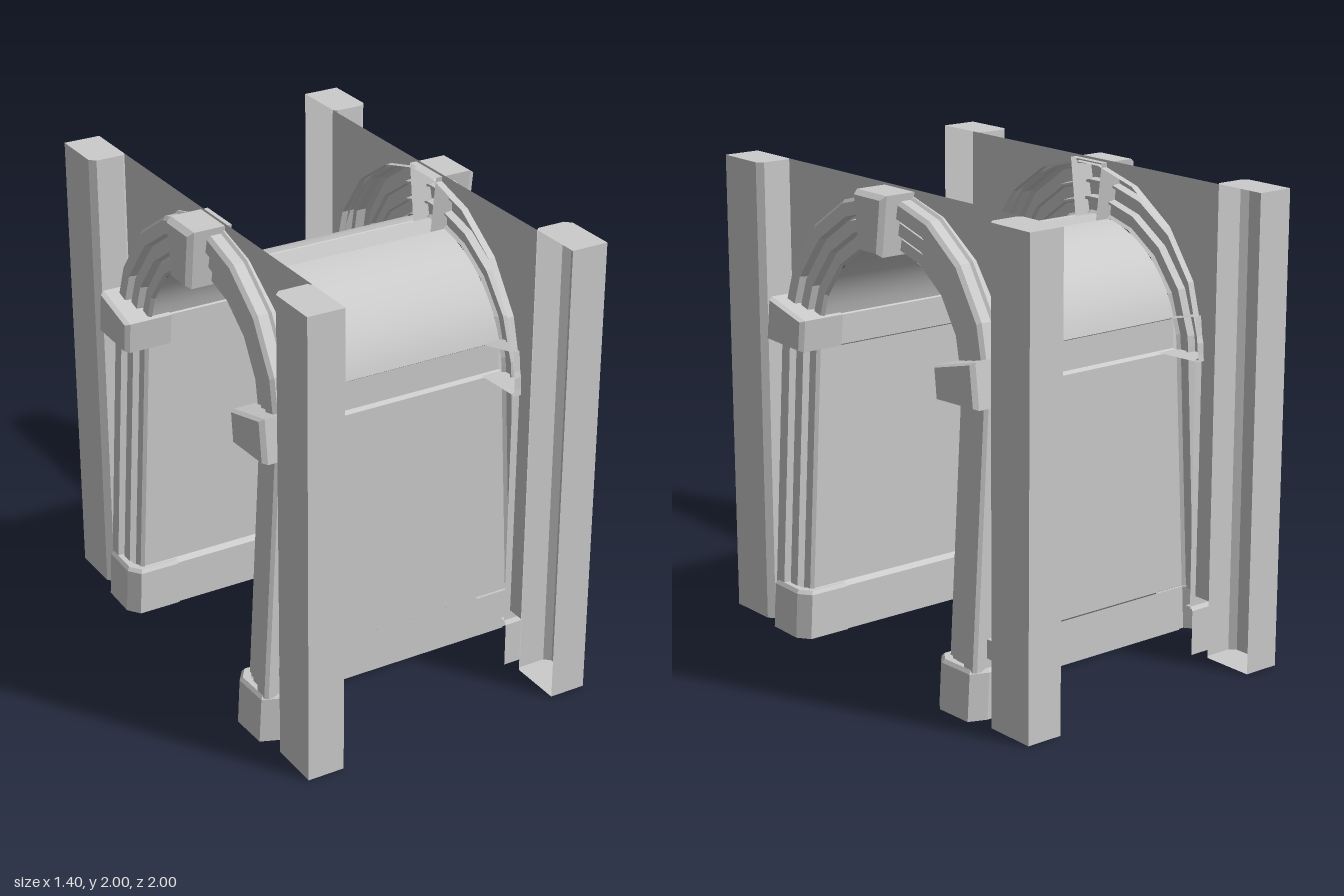
import * as THREE from 'three';
import { toCreasedNormals } from 'three/addons/utils/BufferGeometryUtils.js';

const flat = new THREE.MeshStandardMaterial({ color: 0xcccccc, flatShading: true, side: THREE.DoubleSide });
const smooth = new THREE.MeshStandardMaterial({ color: 0xcccccc, side: THREE.DoubleSide });
const SPRING = 1.28; // height of the arch centre
const BATTER = 0.055; // backward lean of the fronts

// Skin through successive rings of [x, y, z] points
function loft(rings, closed = false) {
  const n = rings[0].length;
  const index = [];
  for (let i = 0; i < rings.length - 1; i++) {
    for (let j = 0; j < (closed ? n : n - 1); j++) {
      const a = i * n + j, b = i * n + (j + 1) % n;
      index.push(a, b, b + n, a, b + n, a + n);
    }
  }
  const g = new THREE.BufferGeometry();
  g.setAttribute('position', new THREE.Float32BufferAttribute(rings.flat(2), 3));
  g.setIndex(index);
  g.computeVertexNormals();
  return g;
}

function add(parent, name, geometry, material = flat) {
  const mesh = new THREE.Mesh(geometry, material);
  mesh.name = name;
  parent.add(mesh);
  return mesh;
}

const shape = (pts) => new THREE.ShapeGeometry(new THREE.Shape(pts.map(([a, b]) => new THREE.Vector2(a, b))));

// Block with a (z, y) outline running outwards along x, bevelled at the front
function block(outline, x0, x1, x2, inset) {
  const cz = outline.reduce((s, p) => s + p[0], 0) / outline.length;
  const cy = outline.reduce((s, p) => s + p[1], 0) / outline.length;
  const ring = (x, k) => outline.map(([z, y]) => [x, cy + (y - cy) * k, cz + (z - cz) * k]);
  return loft([ring(x0, 1), ring(x1, 1), ring(x2, inset), ring(x2, 0)], true);
}

// Hollow pillar, open towards the passage
function pillar(s) {
  const g = new THREE.Group();
  g.name = 'cornerPillar';
  const plan = [[0.5, 0.765], [0.515, 0.75], [0.635, 0.75], [0.66, 0.775], [0.66, 1], [0.5, 1]]
    .map(([x, z]) => [x, z * s]);
  add(g, 'pillarSides', loft([0, 2].map((y) => plan.map(([x, z]) => [x, y, z]))));
  for (const y of [0, 2]) {
    add(g, 'pillarCap', shape(plan).rotateX(Math.PI / 2)).position.y = y;
  }
  return g;
}

// Foot of a column, open at the back
function columnBase(s) {
  const plan = [[0.47, 0.7], [0.62, 0.7], [0.695, 0.67], [0.7, 0.5], [0.66, 0.445], [0.47, 0.445]];
  const ring = (y, k) => plan.map(([x, z]) => [
    x > 0.5 ? 0.57 + (x - 0.57) * k - BATTER * y : x, y, s * (0.572 + (z - 0.572) * k)]);
  return loft([ring(0, 1), ring(0.195, 1), ring(0.21, 0.92), ring(0.21, 0.7)]);
}

// Moulded columns and arch swept as one band: [radius, depth from the front]
function archBand() {
  const profile = [[0.475, -0.055], [0.485, -0.04], [0.53, -0.04], [0.535, -0.055], [0.545, -0.055],
    [0.55, -0.02], [0.6, -0.02], [0.605, -0.038], [0.615, -0.038], [0.62, 0], [0.675, 0],
    [0.69, -0.015], [0.69, -0.06], [0.7, -0.07], [0.7, -1]];
  const ring = (y0, deg) => profile.map(([r, d]) => {
    const t = deg * Math.PI / 180;
    const y = y0 + r * Math.sin(t);
    // the straight columns are a touch narrower than the arch
    const w = y0 < SPRING ? Math.min(r, 0.685) : r;
    return [Math.max(0.47, 0.685 + d - BATTER * y), y, w * Math.cos(t)];
  });
  const angles = [0, 5, 25.5, 46, 66, 84, 96, 114, 134, 154.5, 175, 180];
  return loft([ring(0.2, 0), ring(1.27, 0), ...angles.map((a) => ring(SPRING, a)), ring(1.27, 180), ring(0.2, 180)]);
}

// Thin wall between the pillars, cut out around the arch
function wallPanel() {
  const pts = [[0.765, 0.25], [0.765, 2], [-0.765, 2], [-0.765, 0.25], [-0.685, 0.25]];
  for (let i = 0; i <= 18; i++) {
    const t = Math.PI * (1 - i / 18);
    pts.push([0.69 * Math.cos(t), SPRING + 0.69 * Math.sin(t)]);
  }
  pts.push([0.685, 0.25]);
  return shape(pts).rotateY(-Math.PI / 2).translate(0.5, 0, 0);
}

function facade() {
  const g = new THREE.Group();
  g.name = 'facade';
  add(g, 'wallPanel', wallPanel());
  add(g, 'archAndColumns', archBand());
  add(g, 'keystone', block([[0.098, 1.99], [-0.098, 1.99], [-0.065, 1.74], [0.065, 1.74]], 0.47, 0.635, 0.66, 0.86));
  for (const s of [1, -1]) {
    g.add(pillar(s));
    add(g, 'columnBase', columnBase(s));
    const impost = [[0.703, 1.265], [0.68, 1.45], [0.44, 1.39], [0.455, 1.255]].map(([z, y]) => [z * s, y]);
    add(g, 'impost', block(impost, 0.47, 0.66, 0.68, 0.9));
    add(g, 'sideBlock', new THREE.BoxGeometry(0.105, 0.08, 0.07)).position.set(0.5575, 0.29, s * 0.715);
  }
  return g;
}

// Passage lining: skirting, wall, cornice band and barrel vault
function passage() {
  const half = [[0.452, 0], [0.452, 0.195], [0.475, 0.212], [0.475, 1.25], [0.455, 1.26], [0.455, 1.385], [0.462, 1.39]];
  for (let i = 0; i <= 14; i++) {
    const t = THREE.MathUtils.lerp(0.25, 1.42, i / 14);
    half.push([0.475 * Math.cos(t), SPRING + 0.47 * Math.sin(t)]);
  }
  half.push([0.066, 1.742]);
  const line = [...half, ...half.map(([z, y]) => [-z, y]).reverse()];
  const rings = [-1, 1].map((s) => line.map(([z, y]) => [s * (0.63 - BATTER * y), y, z]));
  return toCreasedNormals(loft(rings), 0.4);
}

export function createModel() {
  const model = new THREE.Group();
  model.name = 'archedPassage';
  add(model, 'passageLining', passage(), smooth);
  for (const turn of [0, Math.PI]) {
    const f = facade();
    f.rotation.y = turn;
    model.add(f);
  }
  return model;
}
